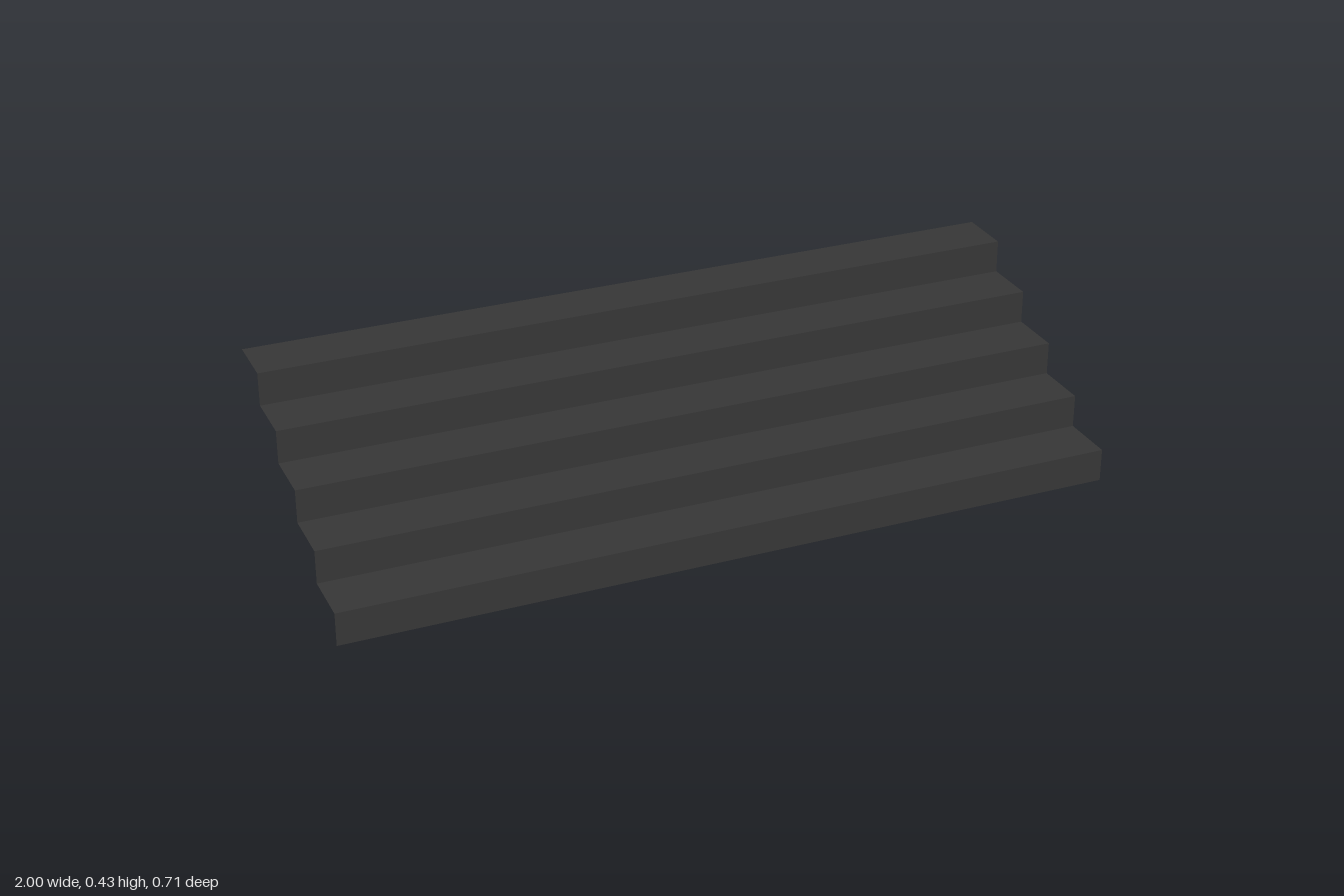
import * as THREE from 'three';

const STEPS = 5, WIDTH = 2, RISE = 0.0857, RUN = 0.1429;

export function createModel() {
  const group = new THREE.Group();
  group.name = 'staircase';
  const charcoal = new THREE.MeshStandardMaterial({ color: 0x363636, side: THREE.DoubleSide });
  charcoal.name = 'charcoal';

  const riserGeometry = new THREE.PlaneGeometry(WIDTH, RISE);
  const treadGeometry = new THREE.PlaneGeometry(WIDTH, RUN).rotateX(-Math.PI / 2);

  const add = (name, geometry, y, z) => {
    const mesh = new THREE.Mesh(geometry, charcoal);
    mesh.name = name;
    mesh.position.set(0, y, z);
    group.add(mesh);
  };

  // Open folded sheet: each step is a riser followed by a tread, climbing to the back
  const front = STEPS * RUN / 2;
  for (let i = 0; i < STEPS; i++) {
    add(`riser${i + 1}`, riserGeometry, (i + 0.5) * RISE, front - i * RUN);
    add(`tread${i + 1}`, treadGeometry, (i + 1) * RISE, front - (i + 0.5) * RUN);
  }
  return group;
}
